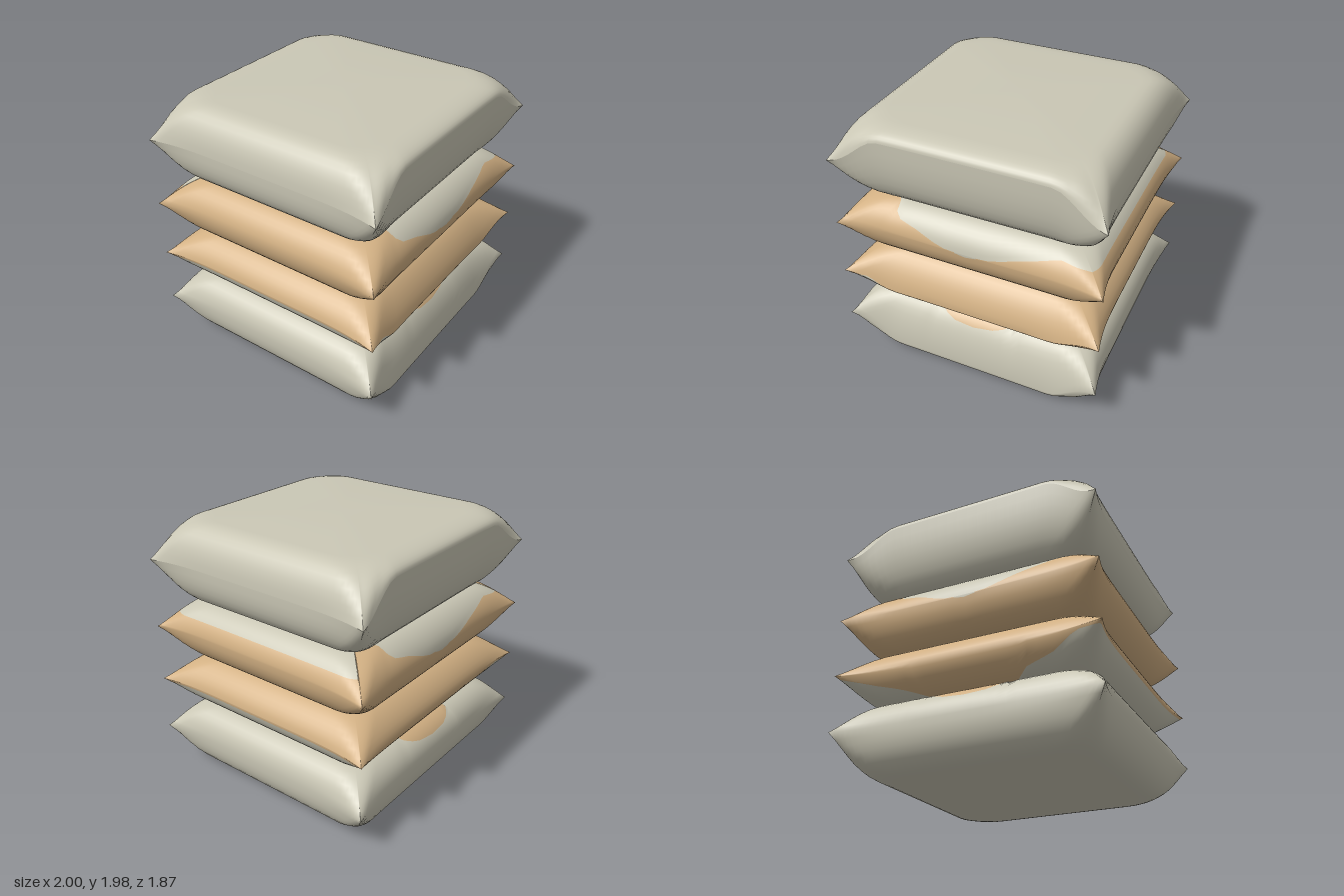
import * as THREE from 'three';

const SIDE = 36, ROWS = 9; // columns per side, rows per band

const grey = new THREE.MeshStandardMaterial({ color: 0xcac7b5 });
grey.name = 'paleCloth';
const tan = new THREE.MeshStandardMaterial({ color: 0xd2b083 });
tan.name = 'tanCloth';

const { clamp, lerp, smoothstep } = THREE.MathUtils;

// Height of a colour border, interpolated through [x, y] points
function along(points, x) {
  for (let i = 1; i < points.length; i++) {
    const [x0, y0] = points[i - 1], [x1, y1] = points[i];
    if (x <= x1) return lerp(y0, y1, clamp((x - x0) / (x1 - x0), 0, 1));
  }
  return points[points.length - 1][1];
}

// Point of a unit square outline for each column, starting at the front
function squarePoint(side, s) {
  return [[s, 1], [1, -s], [-s, -1], [-1, s]][side];
}

// Horizontal position on a cushion at relative height v (-1 bottom, 0 seam, 1 top)
function outline([sx, sz], s, v, c) {
  const a = Math.abs(v);
  const inset = c.inset * (1 - Math.pow(1 - Math.pow(a, c.power), 1 / c.power));
  const pinch = Math.pow(Math.abs(s), 6) * (1 - a) ** 2;
  const X = 0.945 - inset + 0.055 * pinch;
  const Z = 0.885 - inset + 0.05 * pinch;
  const r = 0.2 * Math.pow(a, 0.7);
  const x = sx * X, z = sz * Z;
  const ix = clamp(x, r - X, X - r), iz = clamp(z, r - Z, Z - r);
  const d = Math.hypot(x - ix, z - iz);
  return d > 1e-6 ? [ix + (x - ix) / d * r, iz + (z - iz) / d * r] : [x, z];
}

// A stuffed square cushion with pinched corners and a colour border
function cushion(c) {
  const pos = [], borders = [], cols = SIDE * 4, bands = ROWS * 3;
  const perCol = bands + 5; // two cap rows at each end
  for (let i = 0; i < cols; i++) {
    const side = Math.floor(i / SIDE);
    const s = Math.sin(((i % SIDE) / SIDE * 2 - 1) * Math.PI / 2);
    const p = squarePoint(side, s);
    // The seam bends between the corners on the front and back
    const bent = side === 0 ? c.frontSeam : side === 2 ? c.backSeam : undefined;
    const seam = lerp(c.seam, bent ?? c.seam, smoothstep(1 - Math.abs(s), 0, 0.35));
    const yb = c.border ? c.border(side, p[0]) : seam;
    const vb = clamp(yb < seam ? (yb - seam) / (seam - c.bottom) : (yb - seam) / (c.top - seam), -1, 1);
    borders.push(vb);
    const stops = [-1, Math.min(0, vb), Math.max(0, vb), 1].map(Math.asin);
    const put = (v, scale, lift) => {
      const [x, z] = outline(p, s, v, c);
      const y = v < 0 ? seam + v * (seam - c.bottom) : seam + v * (c.top - seam);
      pos.push(x * scale, y + lift, z * scale);
    };
    put(-1, 0, 0);
    put(-1, 0.5, 0);
    for (let j = 0; j <= bands; j++) {
      const b = Math.min(2, Math.floor(j / ROWS));
      put(Math.sin(lerp(stops[b], stops[b + 1], j / ROWS - b)), 1, 0);
    }
    put(1, 0.5, c.crown ?? 0);
    put(1, 0, c.crown ?? 0);
  }
  const lower = [], upper = [];
  for (let i = 0; i < cols; i++) {
    const n = (i + 1) % cols;
    const borderAboveSeam = borders[i] + borders[n] > 0;
    for (let j = 0; j < perCol - 1; j++) {
      const band = Math.floor((j - 2) / ROWS);
      const list = band < 1 || (band === 1 && borderAboveSeam) ? lower : upper;
      const a = i * perCol + j, b = n * perCol + j;
      list.push(a, b, b + 1, a, b + 1, a + 1);
    }
  }
  const geo = new THREE.BufferGeometry();
  geo.setAttribute('position', new THREE.Float32BufferAttribute(pos, 3));
  geo.setIndex([...lower, ...upper]);
  geo.addGroup(0, lower.length, 0);
  geo.addGroup(lower.length, upper.length, 1);
  geo.computeVertexNormals();
  const mesh = new THREE.Mesh(geo, c.materials);
  mesh.name = c.name;
  return mesh;
}

// Colour borders across the front and back faces
const patchEdge = [[-1, 0.6], [-0.4, 0.52], [-0.28, 0.47], [-0.18, 0.44], [0, 0.43], [0.2, 0.45], [0.33, 0.49], [0.45, 0.53], [1, 0.6]];
const lowEdge = [[-1, 0.7], [-0.85, 0.7], [-0.7, 0.61], [-0.5, 0.57], [-0.38, 0.5], [0.36, 0.5], [0.6, 0.58], [0.76, 0.62], [0.95, 0.68], [1, 0.7]];
const highEdge = [[-1, 1.4], [-0.7, 1.35], [-0.6, 1.28], [-0.4, 1.24], [-0.2, 1.17], [0, 1.14], [0.2, 1.17], [0.42, 1.23], [0.75, 1.3], [1, 1.27]];

export function createModel() {
  const group = new THREE.Group();
  group.name = 'cushionStack';
  const cushions = [
    {
      name: 'bottomCushion', bottom: 0.005, top: 0.522, seam: 0.3, frontSeam: 0.1,
      inset: 0.22, power: 2.2, materials: [grey, tan],
      border: (side, x) => side % 2 ? 0.6 : along(patchEdge, x),
    },
    {
      name: 'lowerMiddleCushion', bottom: 0.522, top: 0.91, seam: 0.72, frontSeam: 0.62,
      inset: 0.2, power: 1.6, materials: [grey, tan],
      border: (side, x) => side % 2 ? 0.7 : along(lowEdge, x),
    },
    {
      name: 'upperMiddleCushion', bottom: 0.91, top: 1.363, seam: 1.16,
      inset: 0.2, power: 1.8, materials: [tan, grey],
      border: (side, x) => [along(highEdge, x), 1.27, along(highEdge, -x), 1.4][side],
    },
    {
      name: 'topCushion', bottom: 1.363, top: 1.965, seam: 1.68, frontSeam: 1.88, backSeam: 1.88,
      inset: 0.22, power: 2.3, crown: 0.015, materials: [grey, grey],
    },
  ];
  for (const c of cushions) group.add(cushion(c));
  return group;
}
